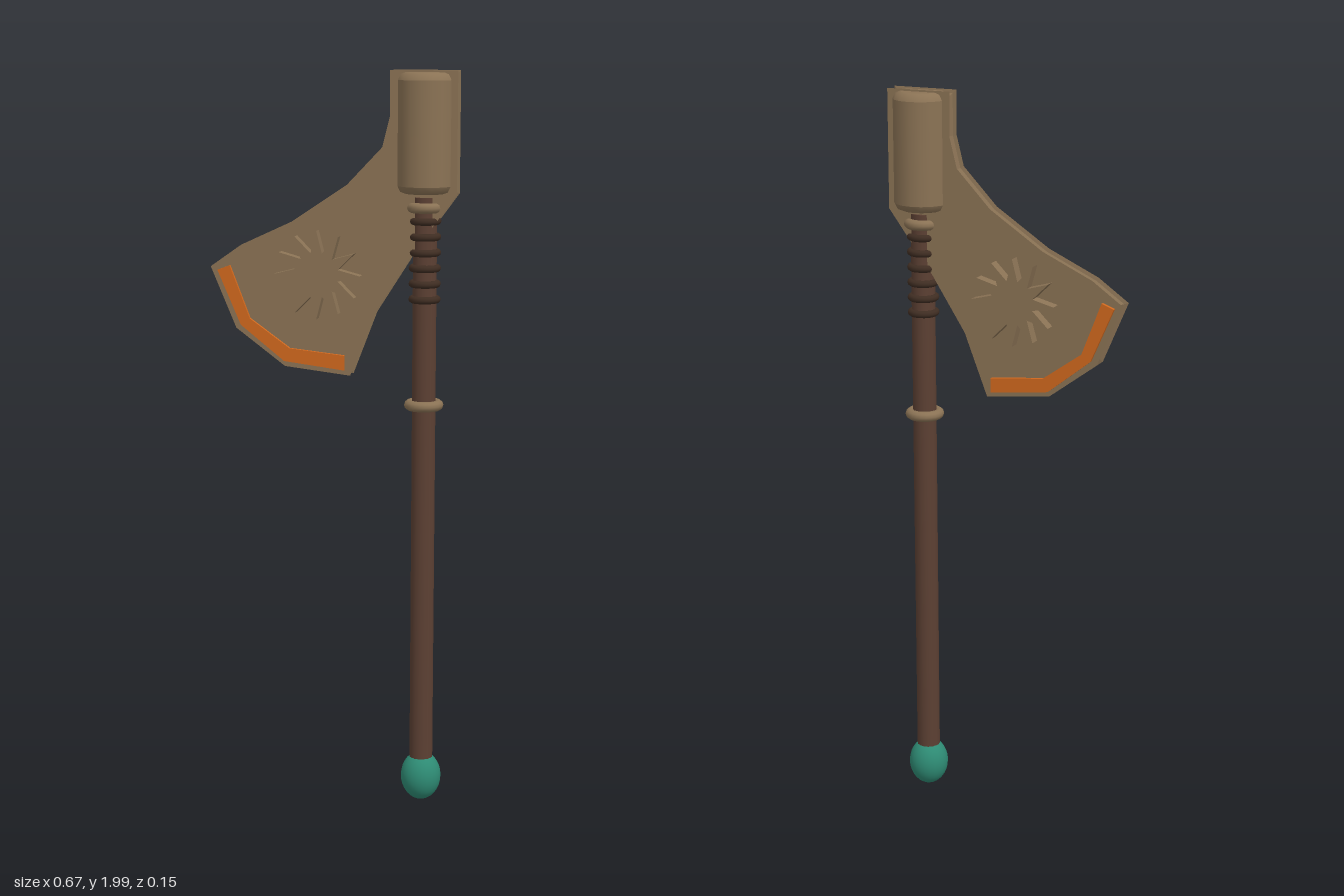
import * as THREE from 'three';

const HX = 0.247; // x of the handle axis

const mat = (name, color) => {
  const m = new THREE.MeshStandardMaterial({ color });
  m.name = name;
  return m;
};

const shapeOf = (pts) => new THREE.Shape(pts.map(([x, y]) => new THREE.Vector2(x, y)));

// Plate extruded evenly to both sides of z = 0
function plate(pts, half) {
  const g = new THREE.ExtrudeGeometry(shapeOf(pts), { depth: half * 2, bevelEnabled: false });
  return g.translate(0, 0, -half);
}

export function createModel() {
  const group = new THREE.Group();
  const bronze = mat('bronze', 0x8b7355);
  const wood = mat('dark wood', 0x5c4033);
  const cord = mat('dark cord', 0x3f2d22);
  const orange = mat('orange edge', 0xd2691e);
  const teal = mat('teal stone', 0x2e8b74);

  const add = (name, geometry, material, x = 0, y = 0) => {
    const mesh = new THREE.Mesh(geometry, material);
    mesh.name = name;
    mesh.position.set(x, y, 0);
    group.add(mesh);
    return mesh;
  };

  // Handle
  add('handle', new THREE.CylinderGeometry(0.032, 0.032, 1.57, 16), wood, HX, 0.885);

  // Pommel stone
  const pommel = new THREE.SphereGeometry(0.055, 24, 16).scale(1, 1.23, 1);
  add('pommel', pommel, teal, HX, 0.073);

  // Collars and cord binding
  const ring = (name, y, radius, tube, material) => {
    const g = new THREE.TorusGeometry(radius - tube, tube, 10, 24).rotateX(Math.PI / 2);
    add(name, g, material, HX, y);
  };
  ring('lowerCollar', 1.115, 0.053, 0.014, bronze);
  ring('upperCollar', 1.643, 0.05, 0.014, bronze);
  for (let i = 0; i < 6; i++) ring('cordBinding', 1.4 + i * 0.0415, 0.043, 0.01, cord);

  // Hammer drum on top, with rounded rims
  const drum = [
    [0, 1.68], [0.055, 1.68], [0.055, 1.68], [0.068, 1.685], [0.075, 1.7], [0.075, 1.7],
    [0.075, 1.975], [0.075, 1.975], [0.068, 1.99], [0.055, 1.995], [0.055, 1.995], [0, 1.995],
  ].map(([r, y]) => new THREE.Vector2(r, y));
  add('drum', new THREE.LatheGeometry(drum, 16), bronze, HX);

  // Blade: the inward bevel cuts a groove all round its rim
  const outline = [
    [0.155, 2.0], [0.155, 1.88], [0.135, 1.8], [0.04, 1.7], [-0.11, 1.6], [-0.25, 1.535],
    [-0.335, 1.475], [-0.265, 1.31], [-0.13, 1.21], [0.05, 1.19], [0.115, 1.36],
    [0.21, 1.51], [0.335, 1.68], [0.335, 2.0],
  ];
  const blade = new THREE.ExtrudeGeometry(shapeOf(outline), {
    depth: 0.012, bevelThickness: 0.016, bevelSize: -0.02, bevelSegments: 3,
  }).translate(0, 0, -0.006);
  add('blade', blade, bronze);

  // Orange cutting band, standing proud on both faces
  const band = [
    [-0.314, 1.467], [-0.25, 1.32], [-0.13, 1.225], [0.035, 1.205],
    [0.035, 1.245], [-0.115, 1.26], [-0.225, 1.338], [-0.28, 1.48],
  ];
  add('cuttingBand', plate(band, 0.032), orange);

  // Raised star on both faces
  const star = [];
  for (let i = 0; i < 24; i++) {
    const a = (i * Math.PI) / 12;
    const r = i % 2 ? 0.06 : 0.118;
    star.push([r * Math.cos(a), r * Math.sin(a)]);
  }
  add('star', plate(star, 0.053), bronze, -0.036, 1.462);

  return group;
}
